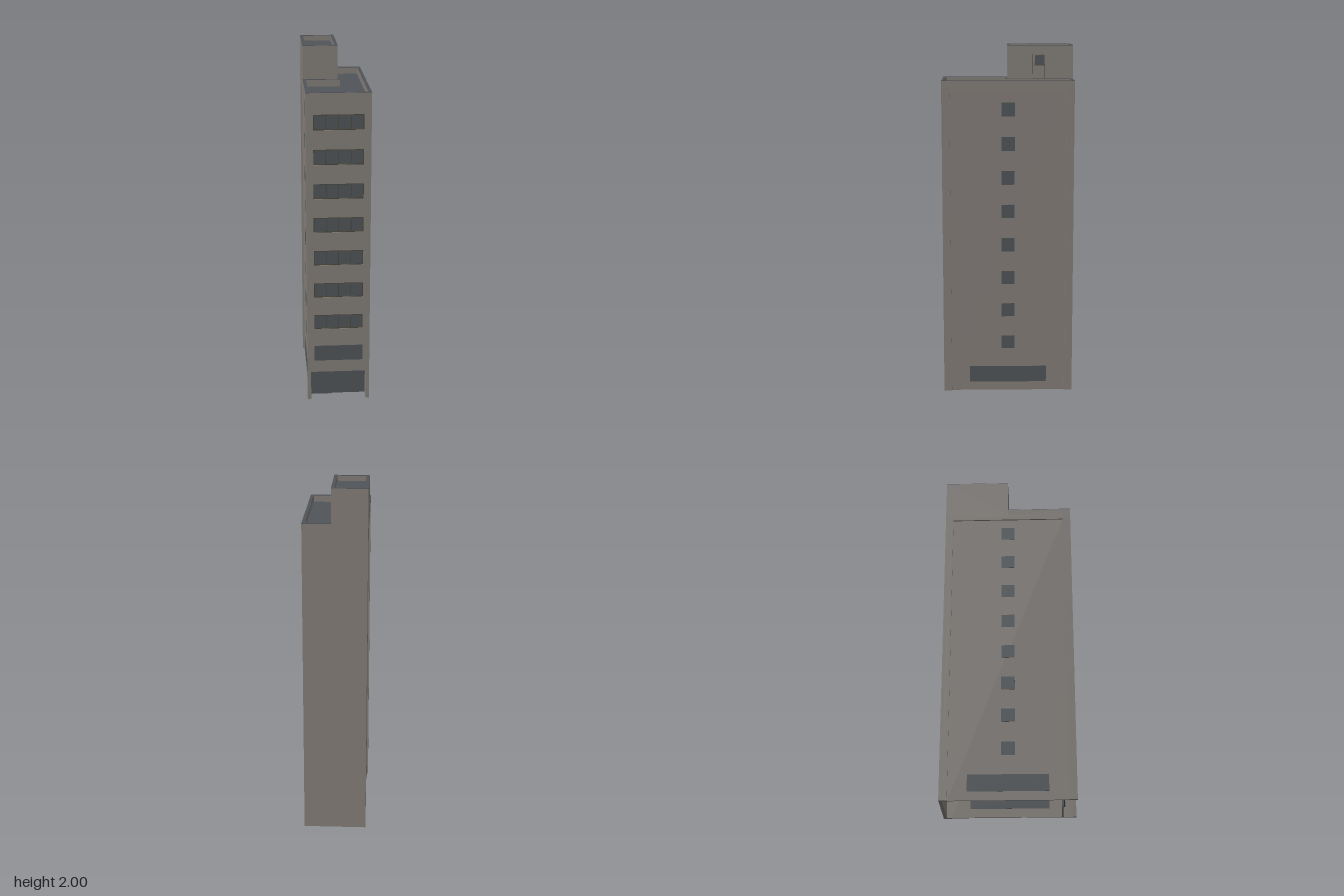
import * as THREE from 'three';

const mat = (name, color) => {
  const m = new THREE.MeshStandardMaterial({ color });
  m.name = name;
  return m;
};

export function createModel() {
  const wall = mat('concrete', 0x857f7a);
  const glass = mat('darkGlass', 0x50565a);
  const roofing = mat('roofing', 0x50555a);
  const frame = mat('windowFrame', 0x4a4637);
  const model = new THREE.Group();
  model.name = 'officeTower';

  const W = 0.178, D = 0.373, T = 0.018; // half width, half depth, wall thickness
  const H = 1.81, TOP = 2, DECK = 1.77;
  const PX = 0.02, PZ = 0; // inner corner of the stair house

  const box = (name, material, x0, x1, y0, y1, z0, z1) => {
    const mesh = new THREE.Mesh(new THREE.BoxGeometry(x1 - x0, y1 - y0, z1 - z0), material);
    mesh.position.set((x0 + x1) / 2, (y0 + y1) / 2, (z0 + z1) / 2);
    mesh.name = name;
    model.add(mesh);
    return mesh;
  };
  // Mirrored pair of boxes on the two long sides
  const sides = (name, material, x0, x1, y0, y1, z0, z1) => {
    box(name + 'Left', material, x0, x1, y0, y1, z0, z1);
    box(name + 'Right', material, -x1, -x0, y0, y1, z0, z1);
  };
  const path = (pts, Kind = THREE.Path) => new Kind(pts.map(([x, y]) => new THREE.Vector2(x, y)));
  const rect = (x0, x1, y0, y1) => [[x0, y0], [x1, y0], [x1, y1], [x0, y1]];
  const extrude = (name, material, outer, holes, depth) => {
    const shape = path(outer, THREE.Shape);
    shape.holes = holes.map((h) => path(h));
    const mesh = new THREE.Mesh(
      new THREE.ExtrudeGeometry(shape, { depth, bevelEnabled: false }), material);
    mesh.name = name;
    model.add(mesh);
    return mesh;
  };
  // Flat ring hanging down from height y, drawn in x and z
  const ring = (name, material, outer, hole, y, depth) => {
    const mesh = extrude(name, material, outer, [hole], depth);
    mesh.rotation.x = Math.PI / 2;
    mesh.position.y = y;
  };

  // Front wall with window openings and a tall entrance
  const rows = Array.from({ length: 8 }, (_, i) => 0.293 + i * 0.1935);
  const openings = rows.slice(1).map((y) => rect(-0.138, 0.138, y - 0.043, y + 0.043));
  extrude('frontWall', wall, [
    [-W, 0], [-0.158, 0], [-0.158, 0.175], [0.158, 0.175], [0.158, 0], [W, 0], [W, DECK], [-W, DECK],
  ], openings, T).position.z = D - T;

  // Front windows: glass, frame and mullions set into the openings
  rows.forEach((y, i) => {
    if (i === 0) {
      box('lowerFrontWindow', glass, -0.138, 0.138, y - 0.046, y + 0.046, D - 0.004, D + 0.001);
      return;
    }
    box('frontWindow', glass, -0.138, 0.138, y - 0.043, y + 0.043, D - 0.014, D - 0.008);
    extrude('frontWindowFrame', frame, rect(-0.138, 0.138, y - 0.043, y + 0.043),
      [rect(-0.134, 0.134, y - 0.039, y + 0.039)], 0.005).position.z = D - 0.008;
    for (const x of [-0.069, 0, 0.069]) {
      box('mullion', frame, x - 0.0015, x + 0.0015, y - 0.039, y + 0.039, D - 0.008, D - 0.005);
    }
  });

  // Back wall
  box('backWall', wall, -W, W, 0, DECK, -D, -D + T);

  // Long sides: raised border around a recessed panel
  const E = 0.045, P = W - 0.009;
  sides('sidePanel', wall, W - T, P, 0, 1.74, -D + E, D - E);
  sides('sideFrontPost', wall, W - T, W, 0, DECK, D - E, D - T);
  sides('sideBackPost', wall, W - T, W, 0, DECK, -D + T, -D + E);
  sides('sideLintel', wall, W - T, W, 1.74, DECK, -D + E, D - E);
  for (const y of rows) sides('sideWindow', glass, P - 0.003, P + 0.001, y - 0.039, y + 0.039, -0.038, 0.038);
  // Strip windows show on both faces of the ground floor walls
  sides('stripWindowOuter', glass, P - 0.003, P + 0.001, 0.05, 0.145, -0.222, 0.222);
  sides('stripWindowInner', glass, W - T - 0.001, W - T + 0.003, 0.05, 0.145, -0.222, 0.222);

  // Open ground floor: ceiling and set-back glass entrance
  box('groundFloorCeiling', wall, -W + T, W - T, 0.19, 0.2, -D + T, D - T);
  box('entranceSoffit', wall, -0.158, 0.158, 0.175, 0.19, 0.29, D - T);
  box('entranceGlass', glass, -W + T, -0.04, 0, 0.19, 0.3, 0.306);
  box('entranceDoor', glass, -0.04, W - T, 0, 0.19, 0.293, 0.299);
  box('doorJamb', glass, -0.043, -0.037, 0, 0.19, 0.291, 0.308);

  // Main roof deck, parapet and dark coping, all wrapping the stair house
  box('roofDeck', roofing, -W + T, W - T, DECK - 0.01, DECK, -D + T, D - T);
  const outer = [[PX, -D], [W, -D], [W, D], [-W, D], [-W, PZ], [PX, PZ]];
  const inner = [[PX + 0.011, -D + T], [W - T, -D + T], [W - T, D - T], [-W + T, D - T],
    [-W + T, PZ + 0.013], [PX + 0.011, PZ + 0.013]];
  ring('parapet', wall, outer, inner, H - 0.002, H - 0.002 - DECK);
  ring('parapetCoping', roofing, outer, inner, H, 0.002);

  // Stair house with its own sunken roof
  const houseOuter = rect(-W, PX, -D, PZ);
  const houseInner = rect(-W + T, PX - T, -D + T, PZ - T);
  ring('stairHouseWalls', wall, houseOuter, houseInner, TOP - 0.002, TOP - 0.002 - DECK);
  ring('stairHouseCoping', roofing, houseOuter, houseInner, TOP, 0.002);
  box('stairHouseRoof', roofing, -W + T, PX - T, 1.96, 1.97, -D + T, PZ - T);

  // Roof door with a small window
  box('roofDoorSurround', frame, PX - 0.002, PX + 0.001, H, 1.95, -0.214, -0.142);
  box('roofDoor', wall, PX - 0.002, PX + 0.003, H, 1.948, -0.212, -0.144);
  box('roofDoorWindow', glass, PX, PX + 0.005, 1.885, 1.945, -0.21, -0.155);

  return model;
}
